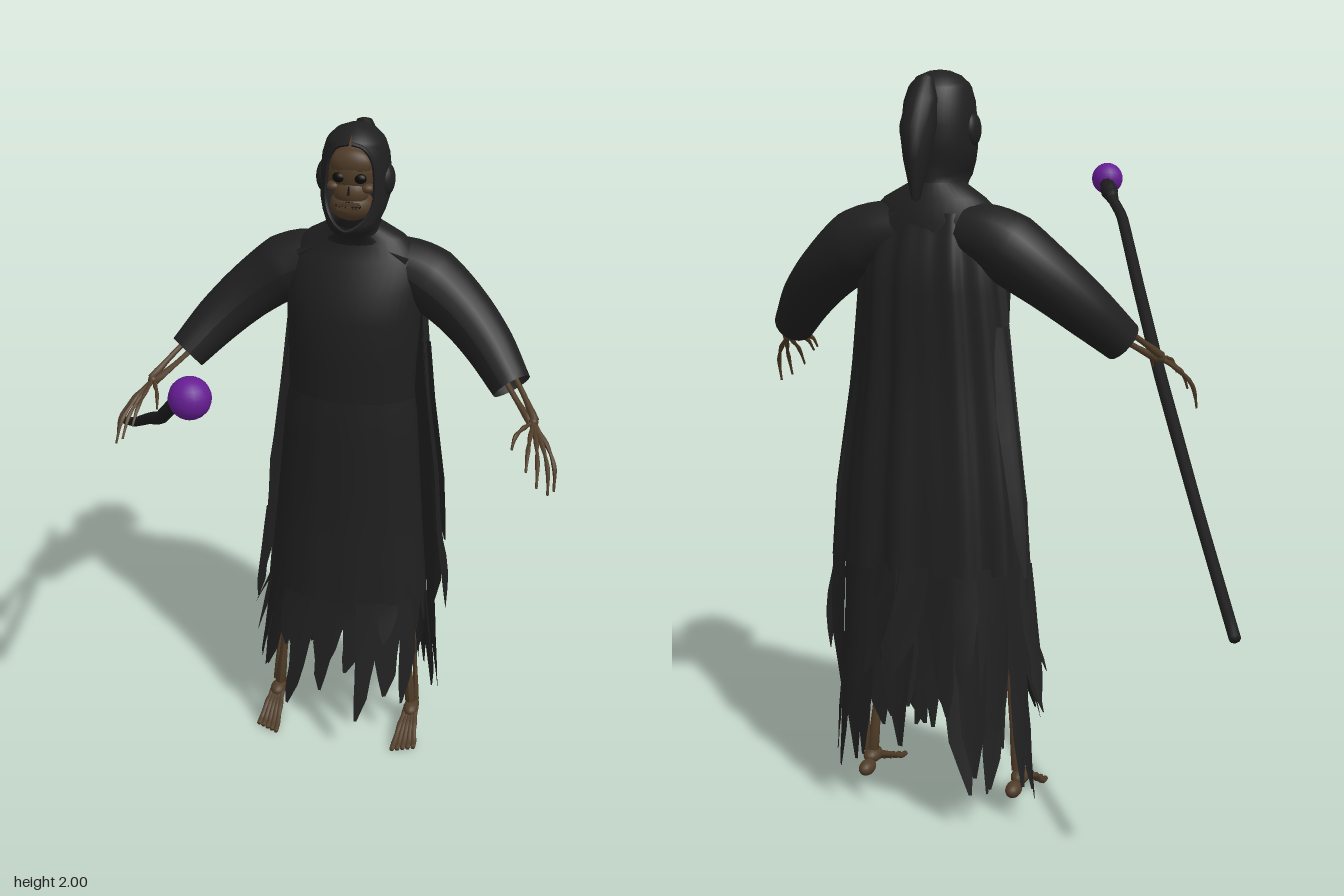
import * as THREE from 'three';
import { mergeGeometries } from 'three/addons/utils/BufferGeometryUtils.js';

const C = 0.146; // x of the figure's own middle
const V = (x, y, z) => new THREE.Vector3(x, y, z);
let seed = 7;
const rnd = () => (seed = (seed * 16807) % 2147483647) / 2147483647;
const lerp = THREE.MathUtils.lerp;

const mat = (name, color, side = THREE.FrontSide) => Object.assign(new THREE.MeshStandardMaterial({ color, side }), { name });

// surface through rows of points
function grid(rows, closed) {
  const n = rows[0].length, pos = [], idx = [];
  rows.forEach(r => r.forEach(p => pos.push(p.x, p.y, p.z)));
  for (let i = 0; i < rows.length - 1; i++)
    for (let j = 0; j < (closed ? n : n - 1); j++) {
      const k = (j + 1) % n, a = i * n + j, b = i * n + k, c = a + n, d = b + n;
      idx.push(a, c, b, b, c, d);
    }
  const g = new THREE.BufferGeometry();
  g.setAttribute('position', new THREE.Float32BufferAttribute(pos, 3));
  g.setIndex(idx);
  g.computeVertexNormals();
  return g;
}

// point on a body of elliptical rings [y, halfWidth, frontZ, backZ], angle 0 = front
function onRings(rings, t, y, fold = 0) {
  let i = 0;
  while (i < rings.length - 2 && y < rings[i + 1][0]) i++;
  const p = rings[i], q = rings[i + 1], f = (p[0] - y) / (p[0] - q[0]);
  const [rx, zf, zb] = [1, 2, 3].map(k => lerp(p[k], q[k], f));
  const w = 1 + fold * (Math.sin(11 * t) + 0.6 * Math.sin(17 * t + 2 * y));
  return V(C + rx * w * Math.sin(t), y, (zf + zb) / 2 + (zf - zb) / 2 * w * Math.cos(t));
}

function loft(rings, ys, seg, fold = 0, a0 = 0, a1 = Math.PI * 2) {
  const closed = a1 - a0 > 6.28;
  return grid(ys.map(y => Array.from({ length: closed ? seg : seg + 1 },
    (_, j) => onRings(rings, a0 + (a1 - a0) * j / seg, y, fold))), closed);
}

// torn strips hanging from a hem, each with uneven edges
function tatters(rings, n, yTop, yLong, yShort, fold, a0, a1) {
  const parts = [], step = (a1 - a0) / n;
  for (let k = 0; k < n; k++) {
    const mid = a0 + (k + 0.5) * step, tip = lerp(yShort, yLong, rnd());
    const drift = (rnd() - 0.5) * step * 1.3, flare = (rnd() - 0.35) * 0.06;
    const rows = [[0, 1.15], [0.25, 1.1], [0.45, 0.95], [0.65, 0.75], [0.82, 0.5], [1, 0.1]].map(([f, w]) => {
      const jag = [-1, 0, 1].map(s => s * w * (1 + (rnd() - 0.5) * 0.6 * f));
      return jag.map(s => {
        const t = mid + drift * f * f + s * step / 2;
        const p = onRings(rings, t, lerp(yTop, tip, f) + s * 0.05 * f * (1 - f), fold);
        p.x += Math.sin(t) * flare * f;
        p.z += Math.cos(t) * flare * f;
        return p;
      });
    });
    parts.push(grid(rows, false));
  }
  return mergeGeometries(parts);
}

// tube whose radius follows a list, with flat ends when capped
function taper(points, radii, seg = 12, sides = 8, capped = true, curve = 'centripetal') {
  const path = new THREE.CatmullRomCurve3(points, false, curve, 0.15);
  const g = new THREE.TubeGeometry(path, seg, 1, sides, false), p = g.attributes.position;
  for (let i = 0; i <= seg; i++) {
    const u = i / seg * (radii.length - 1), k = Math.min(Math.floor(u), radii.length - 2);
    const r = lerp(radii[k], radii[k + 1], u - k) * (capped && (i === 0 || i === seg) ? 0.02 : 1);
    const c = path.getPointAt(i / seg);
    const pulled = !capped ? i : i === 1 ? 0.1 : i === seg - 1 ? seg - 0.1 : i;
    const to = path.getPointAt(pulled / seg);
    for (let j = 0; j <= sides; j++) {
      const v = V().fromBufferAttribute(p, i * (sides + 1) + j).sub(c).multiplyScalar(r).add(to);
      p.setXYZ(i * (sides + 1) + j, v.x, v.y, v.z);
    }
  }
  g.computeVertexNormals();
  return g;
}

const ball = (x, y, z, rx, ry = rx, rz = rx) => new THREE.SphereGeometry(1, 18, 14).scale(rx, ry, rz).translate(x, y, z);

export function createModel() {
  const model = new THREE.Group();
  const cloth = mat('black cloth', 0x1f1f1f, THREE.DoubleSide), bone = mat('old bone', 0x4f3c28);
  const dark = mat('socket black', 0x0c0a08), wood = mat('dark staff', 0x1d1d1d), purple = mat('purple orb', 0x651d92);
  const add = (name, geo, m) => {
    const mesh = new THREE.Mesh(geo, m);
    mesh.name = name;
    model.add(mesh);
  };
  const range = (a, b, n) => Array.from({ length: n + 1 }, (_, i) => lerp(a, b, i / n));

  // robe: torso and skirt
  const robe = [[1.715, 0.07, -0.26, -0.4], [1.675, 0.14, -0.272, -0.42], [1.62, 0.193, -0.25, -0.44], [1.54, 0.2, -0.215, -0.45],
    [1.45, 0.196, -0.192, -0.455], [1.32, 0.19, -0.197, -0.45], [1.2, 0.188, -0.205, -0.445], [1.18, 0.194, -0.2, -0.445],
    [0.8, 0.225, -0.198, -0.47], [0.5, 0.252, -0.18, -0.5], [0.05, 0.31, -0.1, -0.57]];
  add('torso', loft(robe, robe.slice(0, 7).map(r => r[0]), 40), cloth);
  add('skirt', loft(robe, range(1.2, 0.52, 10), 64, 0.008), cloth);
  add('skirtTatters', tatters(robe, 24, 0.53, 0.07, 0.42, 0.008, 0, Math.PI * 2), cloth);
  add('innerTatters', tatters(robe.map(([y, w, f, b]) => [y, w - 0.025, f - 0.02, b + 0.03]), 14, 0.56, 0.15, 0.45, 0.01, 0.1, 6.38), cloth);

  // folded cape over the back, in layers
  const cape = [[1.64, 0.16, -0.33, -0.43], [1.5, 0.195, -0.27, -0.475], [1.35, 0.21, -0.26, -0.48], [1.2, 0.225, -0.25, -0.487],
    [0.9, 0.265, -0.25, -0.52], [0.5, 0.295, -0.23, -0.555], [0.05, 0.335, -0.2, -0.6]];
  const a0 = Math.PI * 0.52, a1 = Math.PI * 1.48;
  add('cape', loft(cape, range(1.64, 0.7, 14), 60, 0.035, a0, a1), cloth);
  add('capeTatters', tatters(cape, 11, 0.72, 0.07, 0.42, 0.035, a0, a1), cloth);
  add('capeLining', tatters(cape.map(([y, w, f, b]) => [y, w - 0.03, f - 0.02, b + 0.025]), 8, 0.85, 0.1, 0.4, -0.03, a0, a1), cloth);
  add('capeSideTatters', mergeGeometries([[a0, a0 + 0.5], [a1 - 0.5, a1]].map(([p, q]) =>
    tatters(cape, 2, 1.35, 0.6, 0.78, -0.04, p, q))), cloth);

  // hood with a face opening; last value is the half angle of the opening
  const hood = [[2, 0.001, -0.299, -0.301, 0], [1.997, 0.025, -0.27, -0.335, 0], [1.985, 0.055, -0.24, -0.365, 0], [1.965, 0.076, -0.218, -0.385, 0.05],
    [1.955, 0.082, -0.213, -0.392, 0.45], [1.92, 0.093, -0.206, -0.407, 0.7], [1.86, 0.099, -0.205, -0.415, 0.76], [1.8, 0.097, -0.2, -0.41, 0.76],
    [1.765, 0.088, -0.193, -0.4, 0.65], [1.742, 0.078, -0.185, -0.4, 0.4], [1.73, 0.073, -0.18, -0.4, 0.05], [1.715, 0.07, -0.205, -0.4, 0],
    [1.69, 0.075, -0.255, -0.405, 0], [1.655, 0.14, -0.27, -0.425, 0]];
  add('hood', grid(hood.map(r => Array.from({ length: 37 }, (_, j) =>
    onRings(hood, r[4] + (Math.PI * 2 - 2 * r[4]) * j / 36, r[0]))), false), cloth);
  const rim = [1, -1].map(s => hood.slice(3, 11).map(r => onRings(hood, s * r[4], r[0])));
  add('hoodRim', taper([...rim[0], ...rim[1].reverse()], [0.006, 0.006], 50, 6), cloth);
  add('hoodBumps', mergeGeometries([1, -1].map(s => ball(C + s * 0.087, 1.848, -0.305, 0.024, 0.046, 0.04))), cloth);
  const tail = [[1.99, 0.003, -0.398, -0.405], [1.982, 0.022, -0.385, -0.43], [1.93, 0.04, -0.385, -0.472], [1.86, 0.046, -0.395, -0.513],
    [1.78, 0.034, -0.43, -0.507], [1.68, 0.01, -0.458, -0.494], [1.675, 0.002, -0.47, -0.48]];
  add('hoodTail', loft(tail, tail.map(r => r[0]), 14), cloth);

  // skull
  add('skull', mergeGeometries([
    ball(C, 1.88, -0.3, 0.083, 0.09, 0.088), ball(C, 1.785, -0.262, 0.062, 0.045, 0.055),
    ball(C, 1.905, -0.245, 0.06, 0.042, 0.032), ball(C, 1.825, -0.245, 0.05, 0.04, 0.035),
    ...[1, -1].map(s => ball(C + s * 0.048, 1.84, -0.24, 0.02, 0.014, 0.02))]), bone);
  add('eyeSockets', mergeGeometries([1, -1].map(s => ball(C + s * 0.03, 1.87, -0.222, 0.018, 0.014, 0.012))), dark);
  add('noseHole', new THREE.ConeGeometry(0.01, 0.026, 3).translate(C, 1.838, -0.213), dark);
  add('mouth', ball(C, 1.793, -0.214, 0.036, 0.012, 0.01), dark);
  const teeth = [];
  for (let i = -3; i <= 3; i++)
    for (const y of [1.799, 1.787])
      teeth.push(new THREE.BoxGeometry(0.008, 0.011, 0.008).translate(C + i * 0.009, y, -0.205 - Math.abs(i) * 0.002));
  add('teeth', mergeGeometries(teeth), bone);

  for (const s of [1, -1]) {
    const side = s > 0 ? 'left' : 'right', P = (x, y, z) => V(C + s * x, y, z);

    // sleeve and torn shoulder scraps
    add(side + 'Sleeve', taper([P(0.09, 1.59, -0.36), P(0.18, 1.565, -0.365), P(0.29, 1.49, -0.35), P(0.39, 1.4, -0.305), P(0.48, 1.3, -0.232)],
      [0.08, 0.096, 0.083, 0.072, 0.058], 24, 18, false), cloth);
    add(side + 'ShoulderScraps', mergeGeometries([0, 1, 2].map(i => new THREE.ConeGeometry(0.012, 0.06, 3)
      .rotateZ(s * (1.1 + i * 0.4)).translate(C + s * (0.13 + i * 0.035), 1.635 - i * 0.012, -0.28 - i * 0.05))), cloth);

    // forearm bones
    const wrist = P(0.557, 1.245, -0.13);
    const arm = [[0.01, 0.008], [-0.012, -0.008]].map(([dx, dy]) => taper(
      [P(0.44 + dx, 1.36 + dy, -0.27), P(0.5 + dx, 1.3 + dy, -0.2), wrist.clone().add(V(s * dx * 0.5, dy * 0.5, 0))],
      [0.014, 0.008, 0.008, 0.013], 14, 8));
    add(side + 'Forearm', mergeGeometries([...arm, ball(wrist.x, wrist.y, wrist.z, 0.014)]), bone);

    // five long curled fingers
    const tips = [[0.512, 1.2, -0.03], [0.562, 1.175, 0.045], [0.594, 1.13, 0.045], [0.624, 1.1, 0.02], [0.637, 1.09, -0.025]];
    add(side + 'Hand', mergeGeometries(tips.map(([x, y, z], i) => {
      const tip = P(x, y, z), at = (f, lift) => wrist.clone().lerp(tip, f).add(V(s * 0.012 * (i / 2 - 0.6), lift, lift * 0.4));
      return taper([wrist, at(0.4, 0.014), at(0.72, 0.018), tip], [0.009, 0.005, 0.0075, 0.0045, 0.007, 0.0045, 0.003], 20, 6);
    })), bone);

    // leg bones
    add(side + 'Leg', mergeGeometries([
      taper([P(0.1, 1.08, -0.33), P(0.16, 0.8, -0.315), P(0.182, 0.58, -0.32)], [0.025, 0.017, 0.016, 0.026], 14),
      taper([P(0.182, 0.58, -0.32), P(0.198, 0.34, -0.325), P(0.22, 0.09, -0.335)], [0.025, 0.015, 0.012, 0.013, 0.019], 16),
      taper([P(0.2, 0.54, -0.345), P(0.22, 0.34, -0.35), P(0.237, 0.09, -0.345)], [0.011, 0.006, 0.006, 0.011], 14)]), bone);

    // foot: heel, ankle and five toes
    const foot = [ball(C + s * 0.222, 0.05, -0.372, 0.022, 0.022, 0.035), ball(C + s * 0.225, 0.07, -0.325, 0.025, 0.022, 0.038)];
    for (let i = 0; i < 5; i++) {
      const k = i - 2, z = -0.165 - i * 0.007;
      foot.push(taper([P(0.225 + k * 0.007, 0.07, -0.32), P(0.225 + k * 0.012, 0.04, -0.25), P(0.225 + k * 0.015, 0.014, z - 0.03), P(0.225 + k * 0.016, 0.009, z)],
        [0.012, 0.008, 0.01, 0.007, 0.009, 0.007], 16, 6));
    }
    add(side + 'Foot', mergeGeometries(foot), bone);
  }

  // staff and orb
  add('staff', taper([V(-0.775, 0.735, -0.84), V(-0.59, 0.935, -0.45), V(-0.385, 1.175, -0.02), V(-0.225, 1.365, 0.34), V(-0.09, 1.55, 0.63), V(-0.01, 1.625, 0.735)],
    [0.014, 0.015, 0.017, 0.018, 0.018, 0.017], 60, 8, true, 'catmullrom'), wood);
  add('staffKnob', taper([V(-0.04, 1.6, 0.7), V(-0.02, 1.62, 0.73), V(0.002, 1.645, 0.77)], [0.017, 0.029, 0.02], 8, 8), wood);
  add('orb', ball(0.008, 1.657, 0.8, 0.05), purple);

  return model;
}
